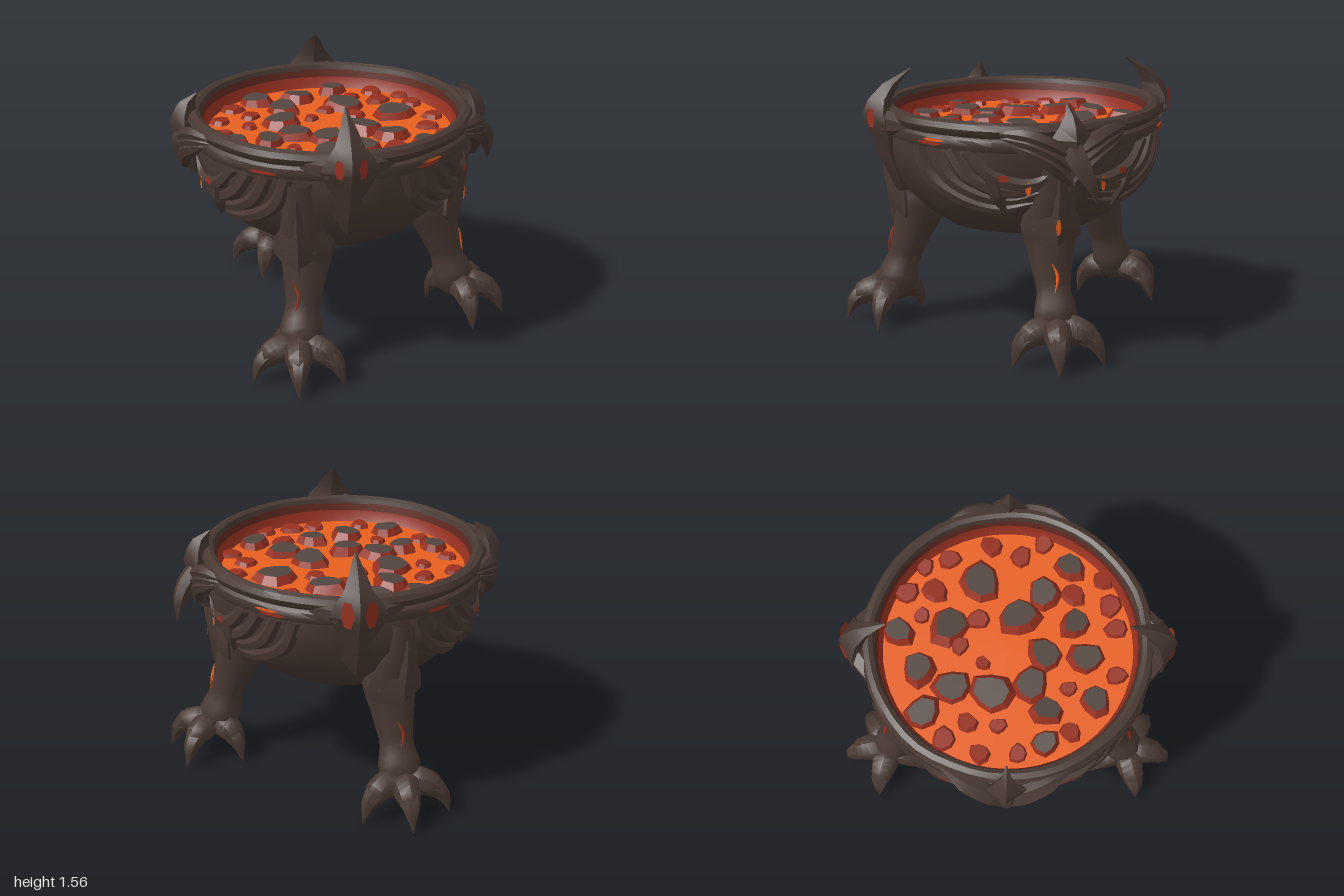
import * as THREE from 'three';
import { toCreasedNormals } from 'three/addons/utils/BufferGeometryUtils.js';

const V = (x, y, z) => new THREE.Vector3(x, y, z);
const polar = (a, r, y) => V(Math.cos(a) * r, y, Math.sin(a) * r);
const material = (name, color) => new THREE.MeshStandardMaterial({ name, color, side: THREE.DoubleSide });

const iron = material('dark iron', 0x483832);
const stone = material('cooled crust', 0x52443e);
const lava = material('lava orange', 0xfc6822);
const ember = material('ember red', 0x963020);
const scorched = material('scorched red', 0x60281f);

const LAVA_Y = 1.215;

function part(parent, name, geometry, mat) {
  const mesh = new THREE.Mesh(geometry, mat);
  mesh.name = name;
  parent.add(mesh);
  return mesh;
}

function group(parent, name, angle = 0) {
  const g = new THREE.Group();
  g.name = name;
  g.rotation.y = -angle;
  parent.add(g);
  return g;
}

// Tube along a smooth path; each point is [Vector3, radius]
function limb(points, sides = 8, steps = 4) {
  const curve = new THREE.CatmullRomCurve3(points.map(p => p[0]));
  const seg = (points.length - 1) * steps;
  const geo = new THREE.TubeGeometry(curve, seg, 1, sides);
  const pos = geo.attributes.position, v = V(0, 0, 0);
  for (let i = 0; i <= seg; i++) {
    const u = i / seg, c = curve.getPointAt(u);
    const t = curve.getUtoTmapping(u) * (points.length - 1);
    const k = Math.min(Math.floor(t), points.length - 2);
    const r = THREE.MathUtils.lerp(points[k][1], points[k + 1][1], t - k);
    for (let j = 0; j <= sides; j++) {
      const n = i * (sides + 1) + j;
      v.fromBufferAttribute(pos, n).sub(c).multiplyScalar(r).add(c);
      pos.setXYZ(n, v.x, v.y, v.z);
    }
  }
  return toCreasedNormals(geo, 0.9);
}

// Ridged blade facing +x; rows are [y, outer radius, inner radius, half width]
function blade(rows) {
  const pos = [], index = [];
  rows.forEach(([y, out, inn, w], i) => {
    const mid = (out + inn) / 2;
    pos.push(out, y, 0, mid, y, w, inn, y, 0, mid, y, -w);
    if (i) for (let j = 0; j < 4; j++) {
      const a = i * 4 + j, b = i * 4 + (j + 1) % 4;
      index.push(a, b, a - 4, b, b - 4, a - 4);
    }
  });
  const geo = new THREE.BufferGeometry();
  geo.setAttribute('position', new THREE.Float32BufferAttribute(pos, 3));
  geo.setIndex(index);
  return toCreasedNormals(geo, 0.6);
}

// Lathe with a gently uneven surface
function turned(profile, lump = 0) {
  const geo = new THREE.LatheGeometry(profile.map(p => new THREE.Vector2(...p)), 48);
  const pos = geo.attributes.position;
  for (let i = 0; i < pos.count; i++) {
    const x = pos.getX(i), y = pos.getY(i), z = pos.getZ(i), a = Math.atan2(z, x);
    const k = 1 + lump * (Math.sin(7 * a + 9 * y) + 0.7 * Math.sin(12 * a - 14 * y));
    pos.setXYZ(i, x * k, y, z * k);
  }
  return toCreasedNormals(geo, 0.7);
}

// Thin glowing sliver facing outward
function sliver(parent, mat, a, r, y, w, h, yaw = 0) {
  const geo = new THREE.CircleGeometry(1, 6).scale(w, h, 1).rotateY(Math.PI / 2 - a + yaw);
  part(parent, 'emberCrack', geo, mat).position.copy(polar(a, r, y));
}

const bowlProfile = [[0, 0.63], [0.3, 0.635], [0.44, 0.66], [0.57, 0.745], [0.68, 0.86], [0.752, 1.0], [0.78, 1.12], [0.775, 1.22]];
function bowlRadius(y) {
  const k = bowlProfile.findIndex(p => p[1] > y);
  const [a, b] = [bowlProfile[k - 1], bowlProfile[k]];
  return a[0] + (b[0] - a[0]) * (y - a[1]) / (b[1] - a[1]);
}

// Clawed leg, outward along +x; m mirrors the foot
function addLeg(parent, angle, m, crack) {
  const leg = group(parent, 'leg', angle);
  part(leg, 'shin', limb([
    [V(0.74, 1.18, 0), 0.08], [V(0.67, 0.95, 0), 0.125], [V(0.6, 0.75, 0), 0.165], [V(0.645, 0.57, 0), 0.125],
    [V(0.7, 0.4, 0), 0.095], [V(0.74, 0.27, 0), 0.125], [V(0.77, 0.15, 0), 0.09], [V(0.77, 0.11, 0), 0.002]], 9), iron);
  part(leg, 'kneePlate', blade([[0.57, 0.76, 0.62, 0.005], [0.7, 0.785, 0.56, 0.165], [0.8, 0.795, 0.56, 0.16],
    [0.92, 0.815, 0.6, 0.09], [1.08, 0.82, 0.7, 0.02]]), iron);
  // Three front toes and a rear thumb: heading, length
  [[13, 0.28], [77, 0.28], [-55, 0.28], [-135, 0.24]].forEach(([deg, len]) => {
    const a = deg * m * Math.PI / 180;
    const at = (d, y) => polar(a, d * len, y).add(V(0.775, 0, 0));
    part(leg, 'toe', limb([[at(0, 0.19), 0.07], [at(0.35, 0.2), 0.085], [at(0.6, 0.18), 0.075], [at(0.74, 0.14), 0.055]], 7, 3), iron);
    part(leg, 'claw', limb([[at(0.5, 0.19), 0.07], [at(0.8, 0.14), 0.055], [at(1, 0.01), 0.002]], 6, 3), iron);
  });
  part(leg, 'shinCrack', limb([[V(0.77, 0.57, 0.03), 0.002], [V(0.782, 0.5, 0), 0.011], [V(0.798, 0.4, 0.02), 0.002]], 5), crack);
}

// Horned boss on the rim; glow sets the size of its ember patches
function addHorn(parent, angle, side, glow = 1) {
  const horn = group(parent, side ? 'sideHorn' : 'mainHorn', angle);
  const rows = side
    ? [[0.98, 0.82, 0.72, 0.005], [1.08, 0.88, 0.73, 0.07], [1.17, 0.88, 0.74, 0.09], [1.28, 0.92, 0.76, 0.12],
      [1.35, 0.9, 0.77, 0.07], [1.41, 0.86, 0.77, 0.03], [1.46, 0.765, 0.755, 0.004]]
    : [[0.86, 0.75, 0.68, 0.005], [1.0, 0.82, 0.74, 0.09], [1.1, 0.87, 0.76, 0.07], [1.18, 0.89, 0.76, 0.12],
      [1.28, 0.945, 0.77, 0.16], [1.35, 0.94, 0.78, 0.13], [1.41, 0.91, 0.77, 0.08], [1.49, 0.83, 0.73, 0.045], [1.57, 0.67, 0.66, 0.004]];
  part(horn, 'hornBlade', blade(rows), iron);
  for (const s of [-1, 1]) {
    if (side) {
      // Brow wings and cheek folds of the side mask
      for (let k = 0; k < 3; k++) part(horn, 'browWing', limb([
        [polar(0, 0.84, 1.04 + k * 0.07), 0.035], [polar(s * 0.14, 0.845, 1.15 + k * 0.05), 0.05],
        [polar(s * 0.3, 0.83, 1.22 + k * 0.04), 0.042], [polar(s * (0.41 + k * 0.06), 0.8, 1.25 + k * 0.03), 0.004]], 6), iron);
    } else {
      sliver(horn, ember, s * 0.07, 0.918, 1.31, 0.03 * glow, 0.06 * glow, -s * 0.5);
      part(horn, 'hornRoot', limb([[polar(s * 0.1, 0.83, 1.28), 0.07], [polar(s * 0.2, 0.79, 1.28), 0.06],
        [polar(s * 0.32, 0.77, 1.28), 0.03]], 6), iron);
    }
  }
}

// Flat crust plate with a wide glowing skirt, floating on the lava
function addRock(parent, x, z, r, h, top, seed) {
  const geo = new THREE.CylinderGeometry(r * 0.86, r * 1.22, h, 8);
  const pos = geo.attributes.position;
  for (let i = 0; i < pos.count; i++) {
    const px = pos.getX(i), pz = pos.getZ(i), a = Math.atan2(pz, px);
    const k = 1 + 0.1 * Math.sin(2 * a + seed) + 0.09 * Math.sin(3 * a + seed * 2.3);
    pos.setXYZ(i, px * k, pos.getY(i), pz * k);
  }
  const rock = part(parent, 'crustLump', toCreasedNormals(geo, 0.3), [ember, top, ember]);
  rock.position.set(x + 0.06, LAVA_Y + h / 2 - 0.012, z);
  rock.rotation.set(0.1 * Math.sin(seed * 3), 0, 0.1 * Math.cos(seed * 5));
}

export function createModel() {
  const model = new THREE.Group();
  model.name = 'lavaCauldron';
  const body = group(model, 'cauldron');
  body.position.x = -0.06;

  // Bowl, rim and glowing inside
  part(body, 'bowl', turned(bowlProfile, 0.012), iron);
  part(body, 'rim', turned([[0.755, 1.19], [0.8, 1.2], [0.815, 1.23], [0.81, 1.26], [0.792, 1.275], [0.81, 1.29],
    [0.82, 1.32], [0.805, 1.35], [0.775, 1.362], [0.75, 1.35], [0.74, 1.32]], 0.004), iron);
  part(body, 'upperInnerWall', turned([[0.74, 1.325], [0.73, 1.28]]), scorched);
  part(body, 'lowerInnerWall', turned([[0.73, 1.28], [0.72, 1.24], [0.7, LAVA_Y - 0.01]]), ember);
  part(body, 'lavaPool', new THREE.CircleGeometry(0.71, 48).rotateX(-Math.PI / 2), lava).position.y = LAVA_Y;

  // Crust: x, z, radius
  const large = [[-0.45, -0.47, 0.09], [-0.19, -0.5, 0.09], [0.03, -0.62, 0.08], [-0.3, -0.31, 0.095], [0.07, -0.33, 0.105],
    [0.34, -0.16, 0.11], [-0.33, -0.09, 0.11], [0.13, 0.06, 0.105], [-0.28, 0.13, 0.095], [-0.1, 0.21, 0.09], [-0.43, 0.22, 0.08],
    [-0.62, 0.21, 0.07], [0.27, 0.2, 0.09], [0.44, 0.35, 0.08], [-0.12, 0.44, 0.09], [0.09, 0.38, 0.08], [-0.37, 0.49, 0.08]];
  const small = [[-0.6, -0.35, 0.065], [0.29, -0.42, 0.07], [0.27, -0.58, 0.065], [-0.05, -0.27, 0.05], [-0.5, -0.22, 0.055],
    [0.11, -0.17, 0.06], [0.5, 0.07, 0.06], [0.57, -0.1, 0.06], [0.48, -0.34, 0.06], [-0.68, 0.06, 0.05], [0.27, 0.37, 0.065],
    [-0.3, 0.34, 0.045], [0.2, 0.58, 0.065], [0.36, 0.54, 0.055], [0.06, 0.61, 0.06], [0.43, -0.48, 0.05], [-0.68, -0.15, 0.055],
    [-0.22, 0.61, 0.055], [0.13, -0.49, 0.045], [-0.55, 0.35, 0.055], [-0.52, -0.05, 0.045], [0.58, 0.2, 0.055], [-0.15, -0.14, 0.04]];
  large.forEach(([x, z, r], i) => addRock(body, x, z, r, 0.055, stone, i * 1.7));
  small.forEach(([x, z, r], i) => addRock(body, x, z, r, 0.035, ember, i * 2.1 + 1));

  // Three clawed legs, the side one with a glowing knee
  addLeg(body, 0.07, 1, lava);
  addLeg(body, 1.92, -1, ember);
  addLeg(body, -1.92, 1, ember);
  sliver(body, lava, 0.07, 0.799, 0.78, 0.016, 0.05);

  // Four horns on the rim
  [0, Math.PI].forEach(a => addHorn(body, a, true));
  addHorn(body, Math.PI / 2, false);
  addHorn(body, -Math.PI / 2, false, 1.4);

  // Beaks under the side masks
  part(body, 'longBeak', limb([[V(0.82, 1.24, 0), 0.07], [V(0.91, 1.14, -0.03), 0.06], [V(0.95, 1.05, -0.07), 0.04], [V(0.965, 0.94, -0.1), 0.003]], 6), iron);
  part(body, 'shortBeak', limb([[V(-0.8, 1.26, 0), 0.07], [V(-0.87, 1.18, 0), 0.05], [V(-0.885, 1.06, 0), 0.003]], 6), iron);

  // Sweeping ribs, spurs and cracks in each quarter
  for (const base of [0, Math.PI]) for (const s of [-1, 1]) {
    const on = (a, y, lift = 0) => polar(base + s * a, bowlRadius(y) + lift, y);
    for (let k = 0; k < 4; k++) part(body, 'rib', limb([
      [on(1.14 - 0.14 * k, 1.2), 0.04], [on(1.06 - 0.17 * k, 1.04 + 0.01 * k, 0.005), 0.042],
      [on(0.8 - 0.16 * k, 0.91 + 0.035 * k, 0.005), 0.04], [on(0.5 - 0.11 * k, 0.86 + 0.06 * k), 0.03],
      [on(0.22 - 0.04 * k, 0.9 + 0.07 * k), 0.008]], 6), iron);
    part(body, 'spur', limb([[on(0.54, 1.06), 0.05], [on(0.5, 0.95, 0.02), 0.05], [on(0.44, 0.84, 0.06), 0.003]], 5), iron);
    sliver(body, ember, base + s * 0.99, 0.823, 1.23, 0.09, 0.012);
    if (base === 0) sliver(body, lava, s * 0.95, 0.825, 1.25, 0.075, 0.01);
    sliver(body, lava, base + s * 0.28, bowlRadius(1.0) + 0.04, 1.0, 0.016, 0.045);
    sliver(body, ember, base + s * 0.45, bowlRadius(1.06) + 0.04, 1.06, 0.035, 0.02);
  }
  return model;
}
